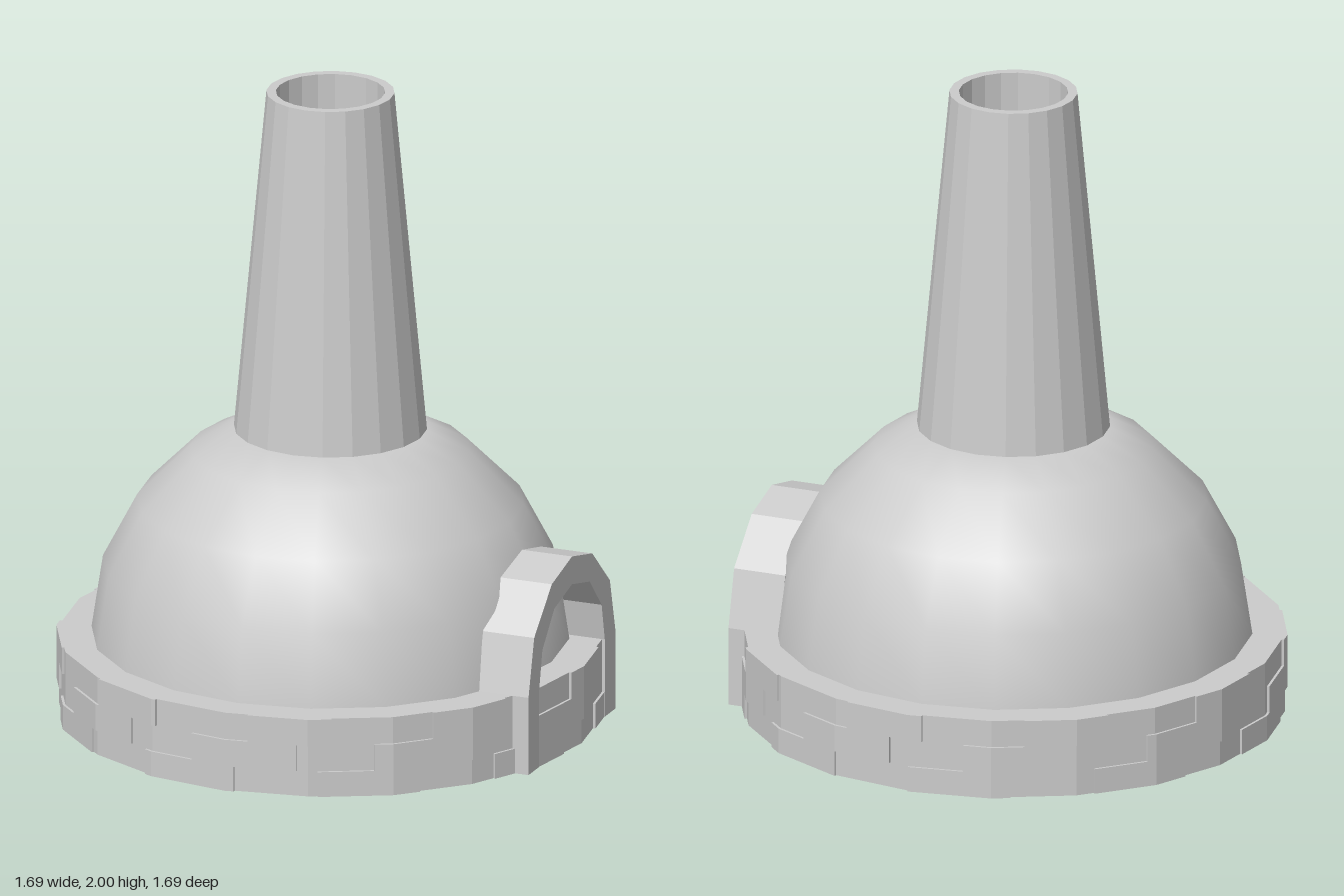
import * as THREE from 'three';

const SIDES = 20, STEP = Math.PI * 2 / SIDES, BASE_H = 0.25;
const DEG = Math.PI / 180;

const smooth = new THREE.MeshStandardMaterial({ color: 0xcccccc });
const flat = new THREE.MeshStandardMaterial({ color: 0xcccccc, flatShading: true });

function add(parent, name, geometry, material) {
  const mesh = new THREE.Mesh(geometry, material);
  mesh.name = name;
  parent.add(mesh);
  return mesh;
}

const profile = (points) => points.map(([x, y]) => new THREE.Vector2(x, y));
const lathe = (points) => new THREE.LatheGeometry(profile(points), SIDES);

// Point on the outline of the many-sided base, angle measured from +z towards +x
function rimPoint(angle, radius) {
  const within = ((angle % STEP) + STEP) % STEP;
  const r = radius * Math.cos(STEP / 2) / Math.cos(within - STEP / 2);
  return new THREE.Vector2(r * Math.sin(angle), -r * Math.cos(angle));
}

// Thin raised brick that follows the corners of the base
function brickGeometry(start, end, height) {
  const angles = [start];
  for (let k = Math.floor(start / STEP) + 1; k * STEP < end - 1e-4; k++) {
    if (k * STEP > start + 1e-4) angles.push(k * STEP);
  }
  angles.push(end);
  const outer = angles.map((a) => rimPoint(a, 0.843));
  const inner = angles.map((a) => rimPoint(a, 0.82)).reverse();
  const geometry = new THREE.ExtrudeGeometry(new THREE.Shape([...outer, ...inner]), {
    depth: height, bevelEnabled: false,
  });
  return geometry.rotateX(-Math.PI / 2);
}

export function createModel() {
  const model = new THREE.Group();
  model.name = 'domedOven';

  // Base slab
  const base = add(model, 'base', new THREE.CylinderGeometry(0.835, 0.835, BASE_H, SIDES), flat);
  base.position.y = BASE_H / 2;

  // Three staggered courses of bricks around the base
  const bricks = new THREE.Group();
  bricks.name = 'baseBricks';
  model.add(bricks);
  const courses = [
    { y: 0, height: 0.08, first: 20, span: 22 },
    { y: 0.08, height: 0.085, first: 32, span: 23.5 },
    { y: 0.165, height: 0.085, first: 5, span: 18 },
  ];
  for (const { y, height, first, span } of courses) {
    for (let k = 0; k < 9; k++) {
      const start = (first + 40 * k) * DEG;
      const brick = add(bricks, 'brick', brickGeometry(start, start + span * DEG, height), flat);
      brick.position.y = y;
    }
  }

  // Dome
  add(model, 'dome', lathe([
    [0.735, BASE_H], [0.7, 0.48], [0.595, 0.68], [0.43, 0.845], [0.295, 0.915], [0, 0.915],
  ]), smooth);

  // Tapered hollow chimney
  add(model, 'chimney', lathe([
    [0.297, 0.915], [0.197, 2], [0.168, 2], [0.168, 1], [0, 1],
  ]), flat);

  // Faceted arch around the oven mouth, on the left side
  const outerHalf = [[0.345, 0], [0.345, 0.25], [0.3, 0.43], [0.16, 0.56]];
  const innerHalf = [[0.26, 0], [0.26, 0.25], [0.235, 0.37], [0.14, 0.475]];
  const span = (half, top) => [
    ...half, [0, top], ...half.map(([x, y]) => [-x, y]).reverse(),
  ];
  const archShape = new THREE.Shape(profile([
    ...span(outerHalf, 0.6), ...span(innerHalf, 0.51).reverse(),
  ]));
  const arch = add(model, 'mouthArch', new THREE.ExtrudeGeometry(archShape, {
    depth: 0.17, bevelEnabled: false,
  }), flat);
  arch.rotation.y = Math.PI / 2;
  arch.position.x = 0.633;

  return model;
}
